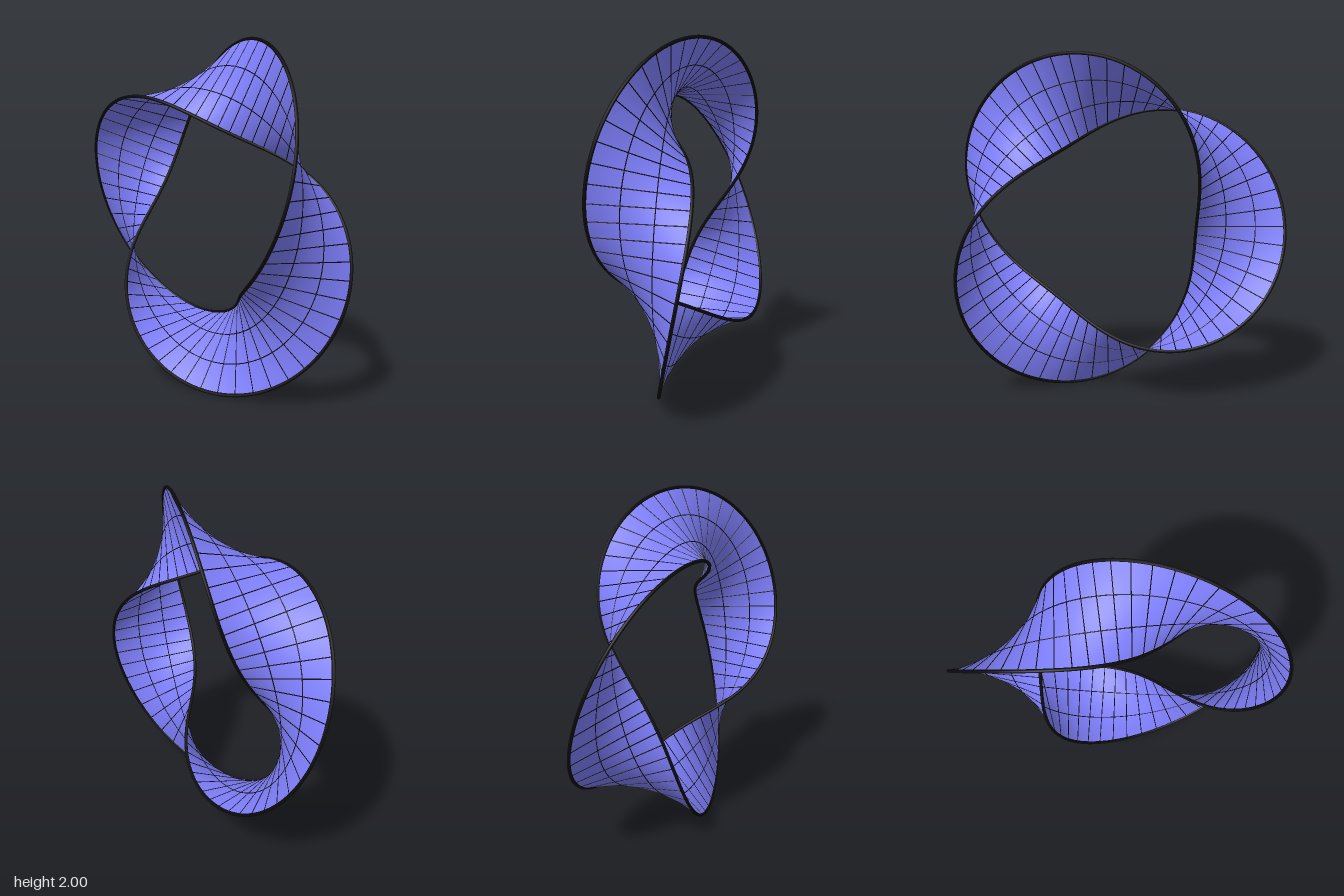
import * as THREE from 'three';

const R = 0.78, W = 0.26;          // ring radius, half width of the band
const CX = 0.0925, CY = 1;         // ring centre

// Point on a band with three half twists: t around the ring, v across it
function bandPoint(t, v, target = new THREE.Vector3()) {
  const twist = 1.5 * (t - Math.PI);
  const r = R + v * Math.cos(twist);
  return target.set(CX + r * Math.cos(t), CY + r * Math.sin(t), -v * Math.sin(twist));
}

// Curve that keeps a constant v; it closes only after two turns
class BandCurve extends THREE.Curve {
  constructor(v) {
    super();
    this.v = v;
  }
  getPoint(u, target = new THREE.Vector3()) {
    return bandPoint(u * Math.PI * 4, this.v, target);
  }
}

// The twisted sheet, bent from a flat grid
function bandGeometry() {
  const geo = new THREE.PlaneGeometry(1, 1, 240, 12);
  const pos = geo.attributes.position;
  const p = new THREE.Vector3();
  for (let i = 0; i < pos.count; i++) {
    bandPoint((pos.getX(i) + 0.5) * Math.PI * 2, pos.getY(i) * 2 * W, p);
    pos.setXYZ(i, p.x, p.y, p.z);
  }
  geo.computeVertexNormals();
  return geo;
}

export function createModel() {
  const model = new THREE.Group();
  const blue = new THREE.MeshStandardMaterial({ color: 0x8080ff, side: THREE.DoubleSide });
  const black = new THREE.MeshStandardMaterial({ color: 0x0a0a0a });

  const add = (name, geometry, material, parent = model) => {
    const mesh = new THREE.Mesh(geometry, material);
    mesh.name = name;
    parent.add(mesh);
    return mesh;
  };

  add('twistedBand', bandGeometry(), blue);

  // One continuous rim runs along the whole border
  add('rim', new THREE.TubeGeometry(new BandCurve(W), 480, 0.01, 8, true), black);

  // Thin grid: one lengthwise loop at a third of the width, and cross lines
  const grid = new THREE.Group();
  grid.name = 'gridLines';
  model.add(grid);
  add('lengthwiseLine', new THREE.TubeGeometry(new BandCurve(W / 3), 400, 0.003, 5, true), black, grid);
  const count = 60;
  for (let i = 0; i < count; i++) {
    const t = (i / count) * Math.PI * 2;
    const line = new THREE.LineCurve3(bandPoint(t, -W), bandPoint(t, W));
    add('crossLine', new THREE.TubeGeometry(line, 1, 0.003, 5, false), black, grid);
  }
  return model;
}
